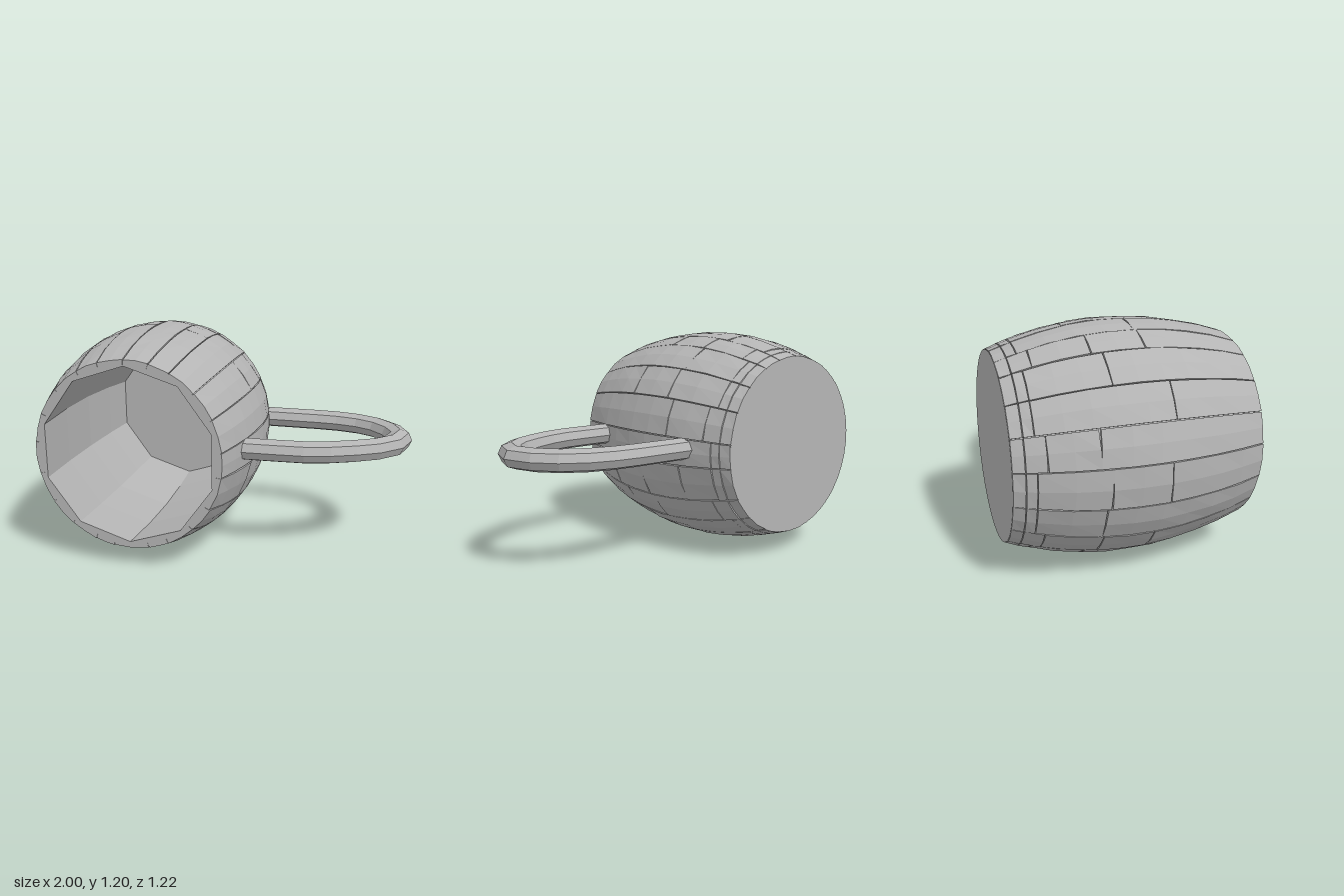
import * as THREE from 'three';

const RAD = Math.PI / 180;
const CX = -0.4, CY = 0.603;

// Bulging barrel profile: radius at a distance z along the axis
const radiusAt = z => 0.601 - (z > 0 ? 0.28 : 0.325) * z * z;

// Small seeded random generator
let seed = 7;
function rand() {
  seed = (seed * 16807) % 2147483647;
  return seed / 2147483647;
}

// One curved plank from angle a0 to a1 and z0 to z1, with edges folded inward
function plank(a0, a1, z0, z1) {
  const nu = 2, nv = Math.max(1, Math.round((z1 - z0) / 0.13));
  const pos = [], idx = [], row = nu + 3;
  const skew = (rand() - 0.5) * 0.016;
  const gap = 0.25 * RAD;
  for (let j = -1; j <= nv + 1; j++) {
    for (let i = -1; i <= nu + 1; i++) {
      const u = Math.min(Math.max(i, 0), nu) / nu;
      const v = Math.min(Math.max(j, 0), nv) / nv;
      const edge = i < 0 || j < 0 || i > nu || j > nv;
      const a = a0 + gap + (a1 - a0 - 2 * gap) * u;
      let z = z0 + (z1 - z0) * v;
      if (z1 - z0 > 0.2 && Math.abs(z) < 0.5) z += skew * (u - 0.5);
      const r = radiusAt(z) - (edge ? 0.028 : rand() * 0.005);
      pos.push(r * Math.cos(a), r * Math.sin(a), z);
    }
  }
  for (let j = 0; j < nv + 2; j++) {
    for (let i = 0; i < nu + 2; i++) {
      const p = j * row + i;
      idx.push(p, p + 1, p + row + 1, p, p + row + 1, p + row);
    }
  }
  const g = new THREE.BufferGeometry();
  g.setAttribute('position', new THREE.Float32BufferAttribute(pos, 3));
  g.setIndex(idx);
  g.computeVertexNormals();
  return g;
}

export function createModel() {
  const model = new THREE.Group();
  const wood = new THREE.MeshStandardMaterial({ color: 0xb4b4b4, flatShading: true });
  wood.name = 'plain grey';

  const add = (parent, name, geometry) => {
    const mesh = new THREE.Mesh(geometry, wood);
    mesh.name = name;
    parent.add(mesh);
    return mesh;
  };

  const barrel = new THREE.Group();
  barrel.name = 'barrel';
  barrel.position.set(CX, CY, 0);
  model.add(barrel);

  // Staves, each cut into staggered planks
  const seams = [6, 26, 44, 62, 75, 90, 106, 120, 138, 156, 174, 194, 213,
    231, 248, 260, 282, 295, 313, 330, 351, 366];
  const cuts = [[-0.23], [0.1, -0.18], [-0.2], [0.06, -0.19], [-0.25],
    [0.06], [0.07, -0.19], [-0.14], [0.13]];
  const staves = new THREE.Group();
  staves.name = 'staves';
  barrel.add(staves);
  for (let s = 0; s < seams.length - 1; s++) {
    let mid = cuts[s % cuts.length];
    if (s === 18) mid = [0.2, -0.05];
    if (s === 19) mid = [0.27, -0.02, -0.31];
    const ringCut = s % 3 === 0 ? -0.46 : -0.505;
    const zs = [0.61, ...mid, ringCut, -0.553, -0.61];
    for (let k = 0; k < zs.length - 1; k++) {
      add(staves, 'plank',
        plank(seams[s] * RAD, seams[s + 1] * RAD, zs[k + 1] + 0.002, zs[k] - (k ? 0.002 : 0)));
    }
  }

  // Backing shell behind the seams, closed by the flat base
  const shell = [new THREE.Vector2(0, -0.61), new THREE.Vector2(radiusAt(-0.61) - 0.003, -0.61)];
  for (let i = 0; i <= 10; i++) {
    const z = -0.6 + i * 0.12;
    shell.push(new THREE.Vector2(radiusAt(z) - 0.017, z));
  }
  add(barrel, 'shellAndBase', new THREE.LatheGeometry(shell, 42).rotateX(Math.PI / 2));

  // Faceted hollow inside
  const sides = 10, rimRadius = 0.462;
  const hollow = [[rimRadius, 0.607], [0.485, 0.3], [0.49, 0], [0.475, -0.28], [0.45, -0.5], [0, -0.5]]
    .map(p => new THREE.Vector2(p[0], p[1]));
  add(barrel, 'inside', new THREE.LatheGeometry(hollow, sides, Math.PI).rotateX(Math.PI / 2));

  // Rim between the round outside and the faceted hollow
  const rim = new THREE.Shape().absarc(0, 0, radiusAt(0.607) - 0.006, 0, Math.PI * 2);
  const hole = [];
  for (let i = 0; i < sides; i++) {
    const a = (i / sides) * Math.PI * 2 + Math.PI / 2;
    hole.push(new THREE.Vector2(rimRadius * Math.cos(a), rimRadius * Math.sin(a)));
  }
  rim.holes.push(new THREE.Path(hole));
  add(barrel, 'rim', new THREE.ShapeGeometry(rim, 21).translate(0, 0, 0.607));

  // Looped handle on the left side
  const path = [[0.08, -0.335], [0.35, -0.325], [0.58, -0.31], [0.76, -0.25], [0.87, -0.15], [0.935, -0.01],
    [0.88, 0.15], [0.72, 0.26], [0.5, 0.34], [0.3, 0.35], [0.08, 0.35]]
    .map(p => new THREE.Vector3(p[0], 0, p[1]));
  const tube = new THREE.TubeGeometry(new THREE.CatmullRomCurve3(path), 16, 0.067, 8);
  tube.scale(1, 0.88, 1).translate(0, 0.607, 0);
  add(model, 'handle', tube);

  return model;
}
